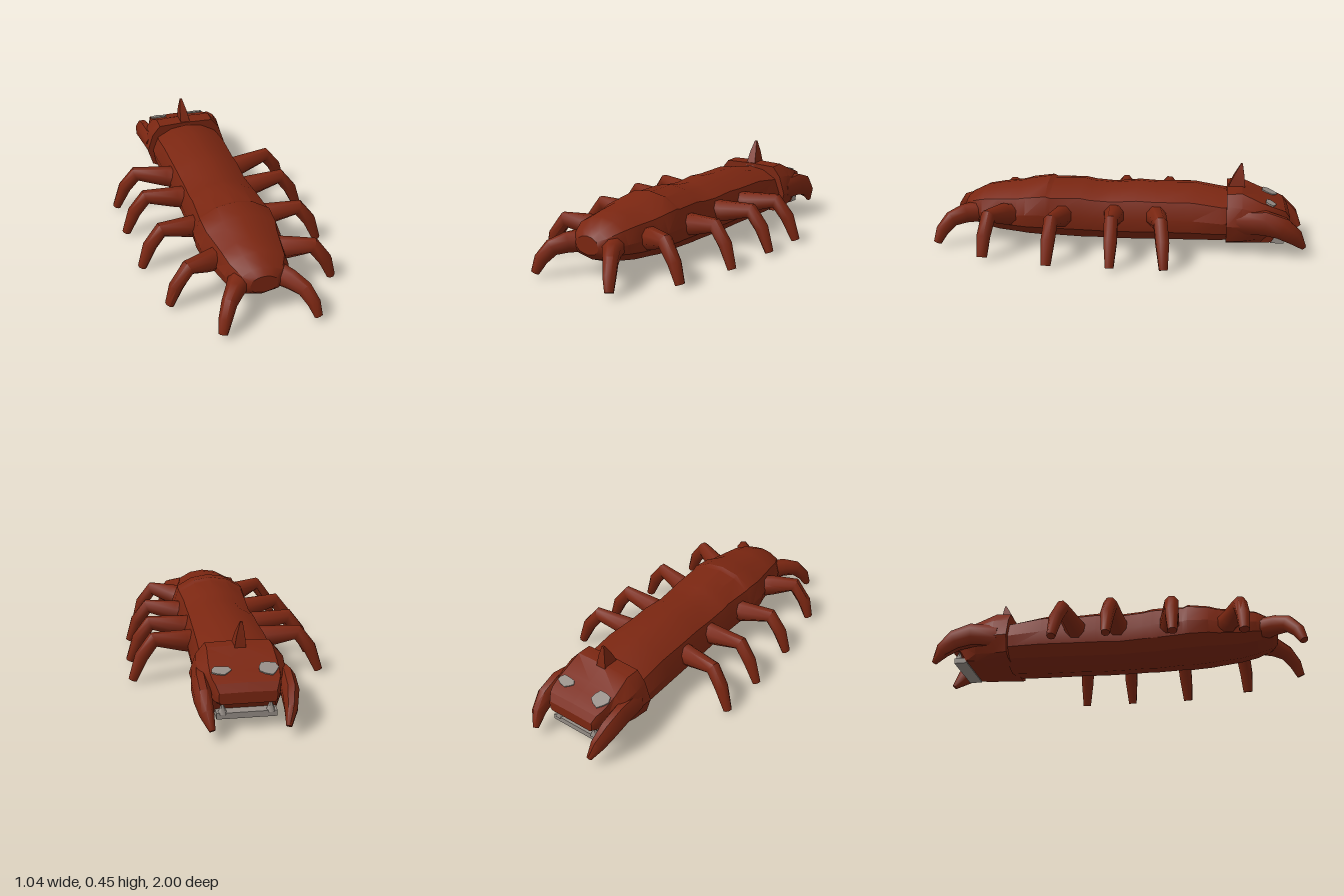
import * as THREE from 'three';
import { toCreasedNormals } from 'three/addons/utils/BufferGeometryUtils.js';

// Skin a list of rings (equal point counts) with capped ends, facing outwards
function loft(rings, crease = 0.5) {
  const n = rings[0].length, pts = rings.flat(), index = [];
  rings.slice(1).forEach((_, r) => {
    for (let i = 0; i < n; i++) {
      const a = r * n + i, b = r * n + (i + 1) % n;
      index.push(a, b, a + n, b, b + n, a + n);
    }
  });
  [[0, 1], [(rings.length - 1) * n, -1]].forEach(([start, dir]) => {
    const c = new THREE.Vector3();
    for (let i = 0; i < n; i++) c.addScaledVector(pts[start + i], 1 / n);
    pts.push(c);
    for (let i = 0; i < n; i++) {
      const a = start + i, b = start + (i + 1) % n;
      index.push(pts.length - 1, ...(dir > 0 ? [b, a] : [a, b]));
    }
  });
  let volume = 0;
  const cross = new THREE.Vector3();
  for (let i = 0; i < index.length; i += 3) {
    volume += pts[index[i]].dot(cross.crossVectors(pts[index[i + 1]], pts[index[i + 2]]));
  }
  if (volume < 0) index.reverse();
  const geo = new THREE.BufferGeometry().setFromPoints(pts);
  geo.setIndex(index);
  return toCreasedNormals(geo, crease);
}

// Mirror a half section, listed from top centre to bottom centre
function section(z, half) {
  const right = half.map(([x, y]) => new THREE.Vector3(x, y, z));
  const left = half.slice(1, -1).reverse().map(([x, y]) => new THREE.Vector3(-x, y, z));
  return [...right, ...left];
}

// Bent tapering limb; each station is [x, y, z, half width, half height]
function limb(stations, side) {
  const centres = stations.map(([x, y, z]) => new THREE.Vector3(x * side, y, z));
  const rings = stations.map(([, , , a, b], i) => {
    const t = new THREE.Vector3();
    if (i > 0) t.add(centres[i].clone().sub(centres[i - 1]).normalize());
    if (i < centres.length - 1) t.add(centres[i + 1].clone().sub(centres[i]).normalize());
    t.normalize();
    const across = new THREE.Vector3(-t.z, 0, t.x).normalize();
    const up = new THREE.Vector3().crossVectors(across, t);
    return Array.from({ length: 8 }, (_, k) => {
      const angle = (k + 0.5) / 8 * Math.PI * 2;
      return centres[i].clone()
        .addScaledVector(across, Math.cos(angle) * a * 1.05)
        .addScaledVector(up, Math.sin(angle) * b * 1.05);
    });
  });
  return loft(rings, 0.9);
}

export function createModel() {
  const model = new THREE.Group();
  model.name = 'crawler';
  const shell = new THREE.MeshStandardMaterial({ color: 0x7a2611 });
  shell.name = 'rust shell';
  const pale = new THREE.MeshStandardMaterial({ color: 0x958d86 });
  pale.name = 'pale grey';
  const add = (name, geo, mat = shell) => {
    const mesh = new THREE.Mesh(geo, mat);
    mesh.name = name;
    model.add(mesh);
    return mesh;
  };

  // Long segmented body: z, half width, bottom, top
  const body = [
    [0.86, 0.07, 0.14, 0.235], [0.83, 0.12, 0.11, 0.265], [0.75, 0.165, 0.08, 0.305],
    [0.66, 0.18, 0.06, 0.322], [0.55, 0.2, 0.05, 0.335], [0.5, 0.215, 0.045, 0.35],
    [0.39, 0.22, 0.037, 0.366], [0.365, 0.215, 0.04, 0.355], [0.2, 0.205, 0.03, 0.36],
    [0.15, 0.205, 0.033, 0.348], [0.03, 0.2, 0.03, 0.34], [-0.1, 0.205, 0.03, 0.354],
    [-0.2, 0.205, 0.035, 0.348], [-0.4, 0.21, 0.038, 0.352], [-0.55, 0.21, 0.045, 0.325],
    [-0.6, 0.2, 0.05, 0.32],
  ];
  const profile = [[0, 1], [0.45, 0.95], [0.85, 0.79], [1, 0.5], [0.95, 0.28], [0.7, 0.11], [0, 0]];
  add('body', loft(body.map(([z, w, b, t]) =>
    section(z, profile.map(([u, v]) => [u * w, b + v * (t - b)])))));

  // Broad head sloping down to the snout
  add('head', loft([
    section(-0.58, [[0, 0.34], [0.16, 0.335], [0.205, 0.28], [0.238, 0.18], [0.21, 0.09], [0.17, 0.07], [0, 0.068]]),
    section(-0.66, [[0, 0.345], [0.16, 0.34], [0.215, 0.275], [0.235, 0.18], [0.2, 0.09], [0.16, 0.07], [0, 0.068]]),
    section(-0.76, [[0, 0.298], [0.165, 0.295], [0.205, 0.25], [0.215, 0.17], [0.18, 0.1], [0.15, 0.07], [0, 0.07]]),
    section(-0.82, [[0, 0.277], [0.165, 0.274], [0.175, 0.24], [0.175, 0.19], [0.165, 0.14], [0.15, 0.075], [0, 0.075]]),
    section(-0.86, [[0, 0.262], [0.16, 0.26], [0.165, 0.23], [0.165, 0.19], [0.16, 0.16], [0.14, 0.14], [0, 0.14]]),
    section(-0.89, [[0, 0.25], [0.15, 0.247], [0.155, 0.22], [0.155, 0.19], [0.15, 0.16], [0.13, 0.145], [0, 0.145]]),
    section(-0.915, [[0, 0.212], [0.135, 0.21], [0.138, 0.2], [0.138, 0.185], [0.135, 0.165], [0.125, 0.155], [0, 0.155]]),
  ]));

  // Horn: y, half width, back z, front z
  add('horn', loft([
    [0.32, 0.03, -0.578, -0.678], [0.4, 0.02, -0.615, -0.67], [0.462, 0.006, -0.65, -0.66],
  ].map(([y, w, back, front]) => [[w, back], [w, front], [-w, front], [-w, back]]
    .map(([x, z]) => new THREE.Vector3(x - (y - 0.32) * 0.06, y, z)))));

  // Lower tooth ridge with a fang at each end
  const ridge = new THREE.BoxGeometry(0.29, 0.03, 0.07);
  ridge.translate(0, 0.083, -0.852);
  add('toothRidge', ridge, pale);

  // Legs: centre line stations for one side
  const legs = {
    rearLeg: [[0.14, 0.2, -0.2, 0.06, 0.06], [0.22, 0.21, -0.215, 0.05, 0.055], [0.385, 0.235, -0.245, 0.036, 0.04],
      [0.45, 0.15, -0.26, 0.035, 0.035], [0.5, 0.025, -0.27, 0.022, 0.022]],
    middleLeg: [[0.14, 0.2, 0.02, 0.06, 0.06], [0.22, 0.21, 0.015, 0.05, 0.055], [0.385, 0.235, 0.01, 0.036, 0.04],
      [0.45, 0.15, 0.005, 0.035, 0.035], [0.5, 0.025, 0.005, 0.022, 0.022]],
    foreLeg: [[0.14, 0.19, 0.29, 0.06, 0.06], [0.22, 0.2, 0.3, 0.05, 0.055], [0.375, 0.225, 0.325, 0.036, 0.04],
      [0.44, 0.14, 0.33, 0.035, 0.035], [0.485, 0.02, 0.335, 0.024, 0.022]],
    frontLeg: [[0.12, 0.18, 0.57, 0.065, 0.06], [0.21, 0.2, 0.62, 0.05, 0.055], [0.325, 0.22, 0.67, 0.038, 0.04],
      [0.39, 0.13, 0.682, 0.034, 0.035], [0.425, 0.03, 0.685, 0.026, 0.022]],
    tailProng: [[0.07, 0.18, 0.74, 0.065, 0.06], [0.145, 0.175, 0.85, 0.045, 0.05], [0.19, 0.155, 0.91, 0.037, 0.042],
      [0.222, 0.1, 0.955, 0.032, 0.034], [0.24, 0.035, 0.98, 0.022, 0.02]],
    mandible: [[0.19, 0.19, -0.64, 0.045, 0.06], [0.208, 0.2, -0.78, 0.043, 0.065], [0.207, 0.175, -0.87, 0.042, 0.06],
      [0.197, 0.125, -0.94, 0.032, 0.045], [0.178, 0.062, -0.99, 0.014, 0.014]],
  };
  for (const side of [1, -1]) {
    const label = side > 0 ? 'left' : 'right';
    for (const [name, stations] of Object.entries(legs)) {
      add(label + name[0].toUpperCase() + name.slice(1), limb(stations, side));
    }
    const fang = new THREE.ConeGeometry(0.024, 0.06, 5);
    fang.translate(side * 0.115, 0.122, -0.872);
    add(label + 'Fang', fang, pale);

    // Ragged eye patch lying on the sloping brow
    const depth = side > 0 ? 0.03 : 0.046;
    const outline = [1, 0.9, 1.08, 0.85, 1, 1.05, 0.88, 1.06, 0.92].map((r, i) => {
      const angle = i / 9 * Math.PI * 2 + 0.4;
      return new THREE.Vector2(Math.cos(angle) * 0.05 * r, Math.sin(angle) * depth * r);
    });
    const eye = new THREE.ExtrudeGeometry(new THREE.Shape(outline), { depth: 0.008, bevelEnabled: false });
    eye.rotateX(-Math.PI / 2 - 0.34);
    eye.translate(side * 0.113, 0.277, -0.81);
    add(label + 'Eye', eye, pale);
  }
  return model;
}
